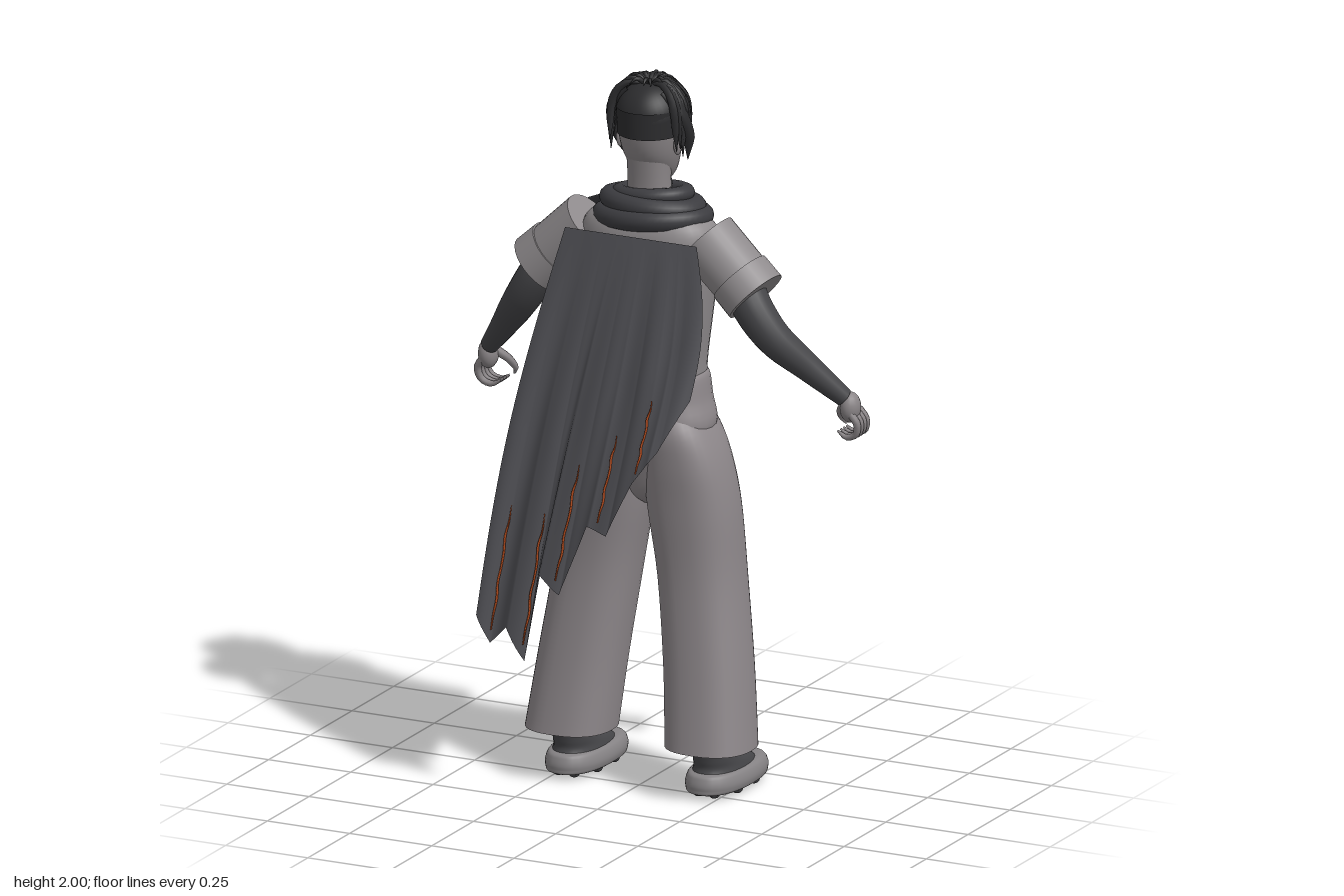
import * as THREE from 'three';
import { ParametricGeometry } from 'three/addons/geometries/ParametricGeometry.js';

const V = (x, y, z) => new THREE.Vector3(x, y, z);
const mat = (name, color, double) => {
  const m = new THREE.MeshStandardMaterial({ color });
  m.name = name;
  if (double) m.side = THREE.DoubleSide;
  return m;
};

// Smooth closed surface through rings [y, centreX, centreZ, radiusX, radiusZ], listed bottom to top
function loft(rings, e = 2.2, seg = 32, sub = 5) {
  const n = (rings.length - 1) * sub, pos = [], idx = [];
  const at = (t, k) => {
    const i = Math.min(Math.floor(t), rings.length - 2), f = t - i;
    const [a, b, c, d] = [-1, 0, 1, 2].map(o => rings[THREE.MathUtils.clamp(i + o, 0, rings.length - 1)][k]);
    return b + 0.5 * f * (c - a + f * (2 * a - 5 * b + 4 * c - d + f * (3 * (b - c) + d - a)));
  };
  const pw = v => Math.sign(v) * Math.abs(v) ** (2 / e);
  for (let i = 0; i <= n; i++) {
    const [y, cx, cz, rx, rz] = [0, 1, 2, 3, 4].map(k => at(i / sub, k));
    for (let j = 0; j < seg; j++) {
      const a = j / seg * Math.PI * 2;
      pos.push(cx + rx * pw(Math.cos(a)), y, cz + rz * pw(Math.sin(a)));
      if (i < n) {
        const p = i * seg + j, q = i * seg + (j + 1) % seg;
        idx.push(p, p + seg, q, q, p + seg, q + seg);
      }
    }
  }
  const g = new THREE.BufferGeometry();
  g.setAttribute('position', new THREE.Float32BufferAttribute(pos, 3));
  g.setIndex(idx);
  g.computeVertexNormals();
  return g;
}

// Tube along points whose radius follows a list
function limb(points, radii, n = 12, seg = 10) {
  const curve = new THREE.CatmullRomCurve3(points);
  const g = new THREE.TubeGeometry(curve, n, 1, seg), p = g.attributes.position, v = V(0, 0, 0);
  for (let i = 0; i <= n; i++) {
    const c = curve.getPointAt(i / n), t = i / n * (radii.length - 1), k = Math.min(Math.floor(t), radii.length - 2);
    const r = THREE.MathUtils.lerp(radii[k], radii[k + 1], t - k);
    for (let j = 0; j <= seg; j++) {
      const m = i * (seg + 1) + j;
      v.fromBufferAttribute(p, m).sub(c).multiplyScalar(r).add(c);
      p.setXYZ(m, v.x, v.y, v.z);
    }
  }
  return g;
}

// Capped cylinder from a to b
function rod(a, b, ra, rb) {
  const d = b.clone().sub(a), g = new THREE.CylinderGeometry(rb, ra, d.length(), 28);
  g.applyQuaternion(new THREE.Quaternion().setFromUnitVectors(V(0, 1, 0), d.normalize()));
  const c = a.clone().add(b).multiplyScalar(0.5);
  return g.translate(c.x, c.y, c.z);
}

const ball = (x, y, z, rx, ry, rz) => new THREE.SphereGeometry(1, 18, 12).scale(rx, ry, rz).translate(x, y, z);

// Cape surface: u runs across, v runs from shoulders to the ragged hem
const hem = [[-.37, .5], [-.33, .425], [-.275, .48], [-.215, .395], [-.175, .645], [-.105, .6],
  [-.03, .8], [.035, .785], [.105, .94], [.17, 1.03], [.24, 1.17]];
function cape(u, v, out) {
  const t = u * (hem.length - 1), i = Math.min(Math.floor(t), hem.length - 2), f = t - i;
  const L = THREE.MathUtils.lerp, hx = L(hem[i][0], hem[i + 1][0], f), hy = L(hem[i][1], hem[i + 1][1], f);
  const x = L(L(-.2, .2, u), hx, v) + Math.sin(Math.PI * v) * L(-.03, .03, u);
  const y = L(1.57, hy, v);
  const wrapIn = .075 * Math.max(0, (u - .86) / .14);
  const z = .05 + v * (.19 + .027 * Math.sin(Math.PI * u) - wrapIn) + .009 * Math.min(1, v * 2) * Math.sin(u * 27 + v);
  return out.set(x, y, z);
}

export function createModel() {
  const model = new THREE.Group();
  const skin = mat('skin', 0x8a8587), shirtM = mat('shirt grey', 0x8f8b8d), pantsM = mat('trouser grey', 0x8c8689, true);
  const cloth = mat('cape cloth', 0x505055, true), wrap = mat('scarf cloth', 0x3c3c40, true);
  const under = mat('dark sleeve', 0x444447), hairM = mat('hair', 0x2c2c2e), glow = mat('ember orange', 0xb04a1c);
  const eyeM = mat('eye grey', 0xa8a6a6), soleM = mat('sole grey', 0x858284);
  const add = (name, geo, m) => {
    const mesh = new THREE.Mesh(geo, m);
    mesh.name = name;
    model.add(mesh);
    return mesh;
  };

  // Torso and hips
  add('shirt', loft([[1.1, 0, -.078, .152, .102], [1.2, 0, -.078, .155, .104], [1.33, 0, -.075, .172, .113],
    [1.47, 0, -.075, .19, .116], [1.56, 0, -.072, .195, .113], [1.61, 0, -.065, .16, .09],
    [1.64, 0, -.06, .08, .06], [1.65, 0, -.06, .002, .002]], 2.5), shirtM);
  add('hips', loft([[.79, 0, -.07, .01, .03], [.83, 0, -.07, .06, .075], [.92, 0, -.068, .13, .1], [1.02, 0, -.068, .187, .119],
    [1.1, 0, -.075, .172, .115], [1.165, 0, -.078, .16, .108], [1.167, 0, -.078, .14, .09]], 2.4), pantsM);

  // Head and face, looking toward -z
  add('neck', loft([[1.58, 0, -.06, .075, .06], [1.68, 0, -.062, .06, .052], [1.8, 0, -.058, .062, .058]]), skin);
  add('collar', loft([[1.62, 0, -.09, .055, .055], [1.7, 0, -.085, .048, .05], [1.701, 0, -.085, .03, .03]]), under);
  add('head', loft([[1.688, 0, -.122, .002, .002], [1.692, 0, -.12, .028, .026], [1.725, 0, -.103, .055, .06],
    [1.78, 0, -.08, .075, .083], [1.85, 0, -.07, .086, .093], [1.91, 0, -.068, .085, .09],
    [1.955, 0, -.068, .06, .065], [1.975, 0, -.068, .002, .002]]), skin);
  add('nose', limb([V(0, 1.84, -.156), V(0, 1.8, -.166), V(0, 1.775, -.168), V(0, 1.767, -.156)], [.004, .008, .012, .004]), skin);
  add('mouth', ball(0, 1.738, -.157, .022, .006, .006), under);
  for (const s of [1, -1]) {
    add('ear', ball(.087 * s, 1.815, -.06, .01, .03, .018), skin);
    add('eye', ball(.034 * s, 1.83, -.154, .015, .008, .006), eyeM);
    add('iris', ball(.034 * s, 1.83, -.159, .006, .007, .003), hairM);
    add('brow', limb([V(.014 * s, 1.848, -.163), V(.036 * s, 1.856, -.16), V(.058 * s, 1.85, -.145)], [.003, .005, .002]), hairM);
  }

  // Hair: cap, cropped nape, draped locks over the brow and sides, loose tufts on top
  const cap = add('hairCap', new THREE.SphereGeometry(1, 32, 16, 0, Math.PI * 2, 0, 1.4).scale(.094, .09, .099), hairM);
  cap.position.set(0, 1.892, -.068);
  cap.rotation.x = .3;
  add('croppedNape', new THREE.CylinderGeometry(1, .97, .075, 32, 1, true, -1.75, 3.5).scale(.092, 1, .1)
    .translate(0, 1.877, -.068), hairM);
  let seed = 7;
  const rnd = () => (seed = (seed * 16807) % 2147483647) / 2147483647;
  for (let k = 0; k < 36; k++) {
    const a = (k / 35 * 2 - 1) * 1.95, j = rnd(), side = Math.min(1, Math.max(0, Math.abs(a) - .6));
    const end = 1.885 - .07 * side - .035 * j;
    const at = (r, y, da = 0) => V(Math.sin(a + da) * r, y, -.062 - Math.cos(a + da) * r);
    add('hairLock', limb([at(.012, 1.975), at(.045, 1.98 + .012 * j), at(.08, 1.965 - .008 * j), at(.101, 1.925, .06 * j),
      at(.108, end, .16 * (j - .5))], [.006, .01, .012, .01, .001], 12, 6), hairM);
  }
  for (let k = 0; k < 12; k++) {
    const a = k * 2.4, r = .025 + .025 * rnd(), x = Math.sin(a), z = Math.cos(a);
    add('hairTuft', limb([V(x * .01, 1.97, -.068 + z * .01), V(x * r, 1.993, -.075 + z * r),
      V(x * (r + .028), 1.978, -.08 + z * (r + .02))], [.006, .007, .001], 8, 6), hairM);
  }
  for (const s of [1, -1]) {
    add('sideLock', limb([V(.05 * s, 1.96, -.04), V(.092 * s, 1.92, -.045), V(.112 * s, 1.85, -.07), V(.1 * s, 1.765, -.095)],
      [.01, .022, .018, .001], 12, 8), hairM);
  }

  // Wound scarf with its knot and loose end
  [[.136, 1.6, .036, .06], [.118, 1.635, .034, -.04], [.092, 1.662, .026, .08]].forEach(([r, y, t, tilt]) => {
    const ring = add('scarfCoil', new THREE.TorusGeometry(r, t, 14, 48).rotateX(Math.PI / 2).scale(1, .85, .82), wrap);
    ring.position.set(0, y, -.083);
    ring.rotation.set(-.1, 0, tilt);
  });
  add('scarfKnot', ball(-.06, 1.58, -.19, .045, .035, .03), wrap);
  add('scarfEnd', new ParametricGeometry((u, v, o) => o.set(-.06 - .245 * v + .005 * u * v,
    1.585 + .035 * u - v * (.115 - .055 * u) + .025 * Math.sin(v * Math.PI),
    -.2 + u * (.03 + .045 * v) + .008 * Math.sin(u * 9) * v), 12, 12), wrap);

  // Cape with glowing tears
  add('cape', new ParametricGeometry(cape, 100, 40), cloth);
  [[.1, .67], [.29, .66], [.48, .64], [.65, .67], [.81, .66]].forEach(([u, v0]) => {
    const pts = [];
    for (let i = 0; i <= 8; i++) {
      const p = cape(u + .004 * Math.sin(i * 2.3), v0 + (.97 - v0) * i / 8, V(0, 0, 0));
      pts.push(p.add(V(0, 0, .004)));
    }
    add('capeTear', limb(pts, [.001, .0035, .003, .0035, .002], 40, 5), glow);
  });

  // Glowing cracks on the chest
  const chest = (x, y) => V(x, y, -.075 - .116 * (1 - (Math.abs(x) / .19) ** 2.5) ** .4);
  [[[.12, 1.56], [.09, 1.51], [.04, 1.48], [-.02, 1.485], [-.08, 1.5], [-.12, 1.55]],
    [[.06, 1.53], [.01, 1.5], [-.05, 1.51], [-.1, 1.54]],
    [[.0, 1.485], [-.005, 1.45], [.02, 1.41], [.03, 1.37]],
    [[.0, 1.44], [-.02, 1.4], [-.035, 1.35]]].forEach(c =>
    add('chestCrack', limb(c.map(p => chest(...p)), [.002, .004, .0035, .002], 24, 6), glow));

  for (const s of [1, -1]) {
    const P = (x, y, z) => V(x * s, y, z);
    // Short sleeve, cuff, dark arm
    add('sleeve', rod(P(.176, 1.562, -.058), P(.3, 1.447, -.052), .086, .084), shirtM);
    add('sleeveCuff', rod(P(.278, 1.468, -.053), P(.33, 1.42, -.048), .089, .09), shirtM);
    add('arm', limb([P(.29, 1.45, -.045), P(.332, 1.385, -.034), P(.385, 1.31, -.048), P(.46, 1.22, -.107), P(.538, 1.13, -.167)],
      [.058, .053, .046, .036, .026], 20, 18), under);

    // Hand with curled fingers
    add('palm', ball(.55 * s, 1.1, -.182, .028, .043, .034), skin);
    for (let f = 0; f < 4; f++) {
      const z = -.163 - .018 * f;
      add('finger', limb([P(.557, 1.09, z), P(.577, 1.058, z - .006), P(.568, 1.025, z - .012), P(.538, 1.014, z - .016),
        P(.512, 1.028, z - .018)], [.011, .011, .01, .009, .003], 12, 8), skin);
    }
    add('thumb', limb([P(.535, 1.11, -.19), P(.505, 1.08, -.215), P(.495, 1.05, -.236), P(.505, 1.03, -.248)],
      [.014, .012, .01, .003], 10, 8), skin);

    // Wide trouser leg
    add('trouserLeg', loft([[.14, .212 * s, -.015, .123, .12], [.35, .19 * s, -.045, .12, .117], [.6, .157 * s, -.072, .119, .115],
      [.8, .131 * s, -.073, .126, .116], [.93, .115 * s, -.068, .115, .117], [1.02, .1 * s, -.068, .09, .115],
      [1.08, .09 * s, -.072, .05, .09]], 2.4), pantsM);

    // Studded shoe
    const x = .213 * s;
    add('shoeSole', loft([[.012, x, -.105, .002, .002], [.013, x, -.105, .07, .15], [.03, x, -.105, .085, .169],
      [.055, x, -.105, .082, .166], [.07, x, -.1, .068, .148], [.072, x, -.1, .03, .1]], 2.3), soleM);
    add('shoeUpper', loft([[.06, x, -.09, .07, .135], [.082, x, -.08, .063, .115], [.104, x, -.042, .056, .08],
      [.135, x, -.008, .048, .05], [.15, x, -.005, .042, .043], [.151, x, -.005, .002, .002]]), under);
    for (let k = 0; k < 3; k++) {
      const y = .109 - k * .011, z = -.09 - k * .03;
      add('lace', rod(V(x - .028, y, z), V(x + .028, y, z), .004, .004), soleM);
    }
    for (let k = 0; k < 8; k++) {
      const a = (k + .5) / 8 * Math.PI * 2;
      add('stud', ball(x + Math.cos(a) * .062, .014, -.105 + Math.sin(a) * .132, .016, .014, .016), under);
    }
  }
  return model;
}
